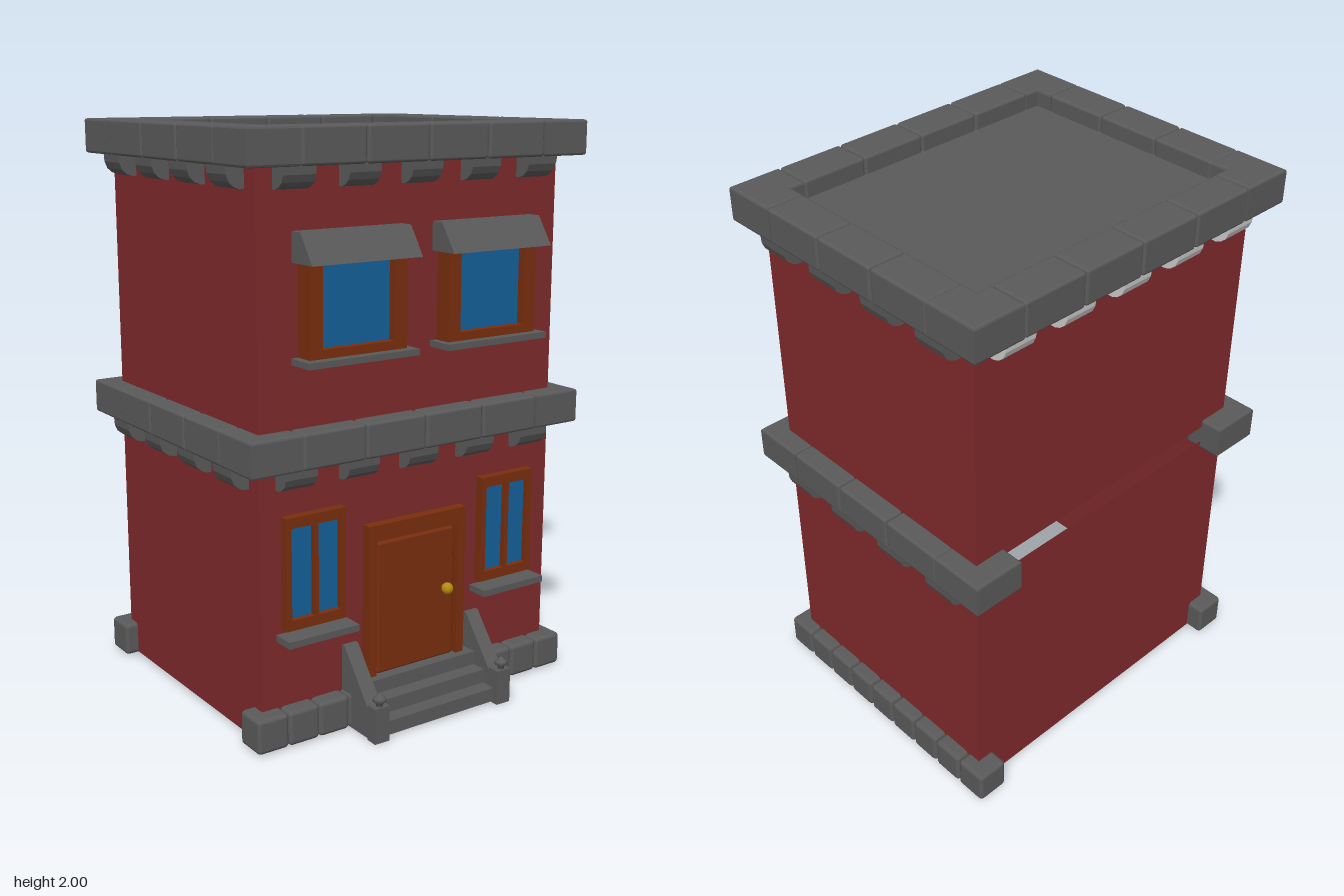
import * as THREE from 'three';
import { RoundedBoxGeometry } from 'three/addons/geometries/RoundedBoxGeometry.js';

const mat = (color, side = THREE.FrontSide) => new THREE.MeshStandardMaterial({ color, side });
const brick = mat(0x7f2a2c, THREE.DoubleSide);
const stone = mat(0x5a5a5a);
const wood = mat(0x7a2e0e);
const glass = mat(0x14609a);
const brass = mat(0xb58a10);
const plain = mat(0xcccccc);

const WALL_X = 0.605, FRONT = 0.425, BACK = -0.54;

function add(parent, name, geometry, material) {
  const mesh = new THREE.Mesh(geometry, material);
  mesh.name = name;
  parent.add(mesh);
  return mesh;
}

// Box given by its limits, with optional rounded edges
function box(parent, name, material, [x0, x1], [y0, y1], [z0, z1], radius = 0) {
  const size = [x1 - x0, y1 - y0, z1 - z0];
  const geometry = radius ? new RoundedBoxGeometry(...size, 2, radius) : new THREE.BoxGeometry(...size);
  const mesh = add(parent, name, geometry, material);
  mesh.position.set((x0 + x1) / 2, (y0 + y1) / 2, (z0 + z1) / 2);
  return mesh;
}

// Side profile of [z, y] points, extruded along x and centred on x = 0
function profile(points, width) {
  const shape = new THREE.Shape(points.map(p => new THREE.Vector2(...p)));
  return new THREE.ExtrudeGeometry(shape, { depth: width, bevelEnabled: false })
    .translate(0, 0, -width / 2).rotateY(-Math.PI / 2);
}

// Flat frame with rectangular openings, each [x0, x1, y0, y1]
function frame(parent, name, outer, holes, z0, z1) {
  const corners = ([a, b, c, d]) => [[a, c], [b, c], [b, d], [a, d]].map(p => new THREE.Vector2(...p));
  const shape = new THREE.Shape(corners(outer));
  shape.holes = holes.map(h => new THREE.Path(corners(h)));
  const geometry = new THREE.ExtrudeGeometry(shape, { depth: z1 - z0, bevelEnabled: false });
  return add(parent, name, geometry.translate(0, 0, z0), wood);
}

// Four open walls of one storey
function storey(parent, name, y0, y1) {
  const walls = new THREE.Group();
  walls.name = name;
  const h = y1 - y0, depth = FRONT - BACK, mid = (FRONT + BACK) / 2;
  const sides = [[0, FRONT, 0, 2 * WALL_X], [0, BACK, Math.PI, 2 * WALL_X],
    [WALL_X, mid, Math.PI / 2, depth], [-WALL_X, mid, -Math.PI / 2, depth]];
  for (const [x, z, turn, width] of sides) {
    const wall = add(walls, 'wall', new THREE.PlaneGeometry(width, h), brick);
    wall.position.set(x, (y0 + y1) / 2, z);
    wall.rotation.y = turn;
  }
  parent.add(walls);
}

// L-shaped corner stone of a ledge
function cornerStone(parent, sx, sz, y0, y1) {
  const b = 0.008, zc = -0.06;
  const pts = [[0.487, 0.56], [0.487, 0.425], [0.54, 0.425], [0.54, 0.362], [0.675, 0.362], [0.675, 0.56]];
  const shape = new THREE.Shape(pts.map(([x, z]) => new THREE.Vector2(sx * x, zc + sz * z)));
  const geometry = new THREE.ExtrudeGeometry(shape, {
    depth: y1 - y0 - 2 * b, bevelSize: b, bevelOffset: -b, bevelThickness: b, bevelSegments: 2,
  }).rotateX(Math.PI / 2);
  add(parent, 'ledgeCorner', geometry, stone).position.y = y1 - b;
}

// Stone ledge with rounded brackets under its joints
function ledge(parent, name, y0, y1, closedBack, bracketGeometry) {
  const group = new THREE.Group();
  group.name = name;
  const xs = [-0.485, -0.2425, 0, 0.2425, 0.485];
  const zs = [-0.425, -0.182, 0.061, 0.304];
  const y = [y0, y1], r = 0.01, gap = 0.002;
  for (const sx of [-1, 1]) for (const sz of [-1, 1]) cornerStone(group, sx, sz, y0, y1);
  for (let i = 0; i < 4; i++) {
    const x = [xs[i] + gap, xs[i + 1] - gap];
    box(group, 'ledgeFrontStone', stone, x, y, [0.365, 0.5], r);
    if (closedBack) box(group, 'ledgeBackStone', stone, x, y, [-0.62, -0.485], r);
  }
  for (let i = 0; i < 3; i++) {
    const z = [zs[i] + gap, zs[i + 1] - gap];
    box(group, 'ledgeSideStone', stone, [0.54, 0.675], y, z, r);
    box(group, 'ledgeSideStone', stone, [-0.675, -0.54], y, z, r);
  }
  const bracket = (x, z, turn, material = stone) => {
    const mesh = add(group, 'bracket', bracketGeometry, material);
    mesh.position.set(x, y0, z);
    mesh.rotation.y = turn;
  };
  for (const x of xs) {
    bracket(x, FRONT, 0);
    if (closedBack) bracket(x, BACK, Math.PI, plain);
  }
  for (const z of zs) {
    bracket(WALL_X, z, Math.PI / 2);
    bracket(-WALL_X, z, -Math.PI / 2);
  }
  parent.add(group);
}

function lowerWindow(parent, cx) {
  const g = new THREE.Group();
  g.name = 'lowerWindow';
  g.position.x = cx;
  frame(g, 'windowFrame', [-0.116, 0.116, 0.395, 0.778],
    [[-0.095, -0.008, 0.43, 0.742], [0.008, 0.095, 0.43, 0.742]], 0.41, 0.457);
  box(g, 'windowGlass', glass, [-0.1, 0.1], [0.42, 0.75], [0.428, 0.437]);
  box(g, 'windowSill', stone, [-0.137, 0.137], [0.358, 0.381], [0.41, 0.505]);
  parent.add(g);
}

function upperWindow(parent, cx) {
  const g = new THREE.Group();
  g.name = 'upperWindow';
  g.position.x = cx;
  frame(g, 'windowFrame', [-0.188, 0.188, 1.285, 1.6], [[-0.138, 0.138, 1.315, 1.578]], 0.42, 0.49);
  box(g, 'windowGlass', glass, [-0.15, 0.15], [1.3, 1.59], [0.43, 0.46]);
  box(g, 'windowSill', stone, [-0.214, 0.214], [1.265, 1.286], [0.425, 0.525]);
  add(g, 'awning', profile([[0.42, 1.585], [0.54, 1.585], [0.475, 1.682], [0.42, 1.682]], 0.42), stone);
  parent.add(g);
}

function door(parent) {
  const g = new THREE.Group();
  g.name = 'door';
  frame(g, 'doorFrame', [-0.205, 0.205, 0.15, 0.692], [[-0.172, 0.172, 0.152, 0.635]], 0.412, 0.462);
  box(g, 'doorPanel', wood, [-0.163, 0.163], [0.155, 0.625], [0.415, 0.453], 0.008);
  const stem = add(g, 'knobStem', new THREE.CylinderGeometry(0.01, 0.01, 0.03, 12).rotateX(Math.PI / 2), brass);
  stem.position.set(0.12, 0.412, 0.46);
  add(g, 'doorKnob', new THREE.SphereGeometry(0.021, 16, 12), brass).position.set(0.12, 0.412, 0.474);
  parent.add(g);
}

function stairs(parent) {
  const g = new THREE.Group();
  g.name = 'stairs';
  [0.6, 0.545, 0.49].forEach((z, i) =>
    box(g, 'step', stone, [-0.24, 0.24], [0.008 + i * 0.049, 0.057 + i * 0.049], [0.42, z]));
  // Sloped side walls, each with a post and finial
  const cheek = profile([[0.42, 0.005], [0.595, 0.005], [0.595, 0.085], [0.44, 0.285], [0.42, 0.285]], 0.055);
  const finial = new THREE.LatheGeometry([[0.012, 0], [0.012, 0.012], [0.024, 0.022], [0.021, 0.032], [0, 0.048]]
    .map(p => new THREE.Vector2(...p)), 10);
  for (const s of [-1, 1]) {
    add(g, 'stairWall', cheek, stone).position.x = s * 0.262;
    box(g, 'stairPost', stone, [s * 0.262 - 0.029, s * 0.262 + 0.029], [0, 0.125], [0.575, 0.62]);
    add(g, 'stairFinial', finial, stone).position.set(s * 0.262, 0.122, 0.603);
  }
  parent.add(g);
}

// Footing stones along the front and one side, with single stones at the other corners
function footing(parent) {
  const g = new THREE.Group();
  g.name = 'footing';
  const block = (x, z) => box(g, 'footingStone', stone, [x - 0.059, x + 0.059], [0.005, 0.125], [z - 0.059, z + 0.059], 0.015);
  for (let i = 0; i < 11; i++) {
    const x = -0.595 + i * 0.119;
    if (Math.abs(x) > 0.2) block(x, 0.425);
  }
  for (let i = 1; i < 9; i++) block(0.595, 0.425 - i * 0.1213);
  for (const s of [-1, 1]) block(s * 0.595, -0.545);
  parent.add(g);
}

export function createModel() {
  const house = new THREE.Group();
  house.name = 'townHouse';
  storey(house, 'lowerWalls', 0.01, 0.965);
  storey(house, 'upperWalls', 1.03, 1.9);
  box(house, 'roof', stone, [-0.6, 0.6], [1.9, 1.94], [-0.535, 0.42]);

  const bracket = profile([[-0.01, 0.005], [0.065, 0.005], [0.063, -0.025], [0.053, -0.048],
    [0.035, -0.063], [0.015, -0.07], [-0.01, -0.07]], 0.118);
  ledge(house, 'middleLedge', 0.937, 1.057, false, bracket);
  ledge(house, 'roofLedge', 1.88, 2, true, bracket);

  lowerWindow(house, -0.411);
  lowerWindow(house, 0.398);
  upperWindow(house, -0.267);
  upperWindow(house, 0.28);
  door(house);
  stairs(house);
  footing(house);
  return house;
}
